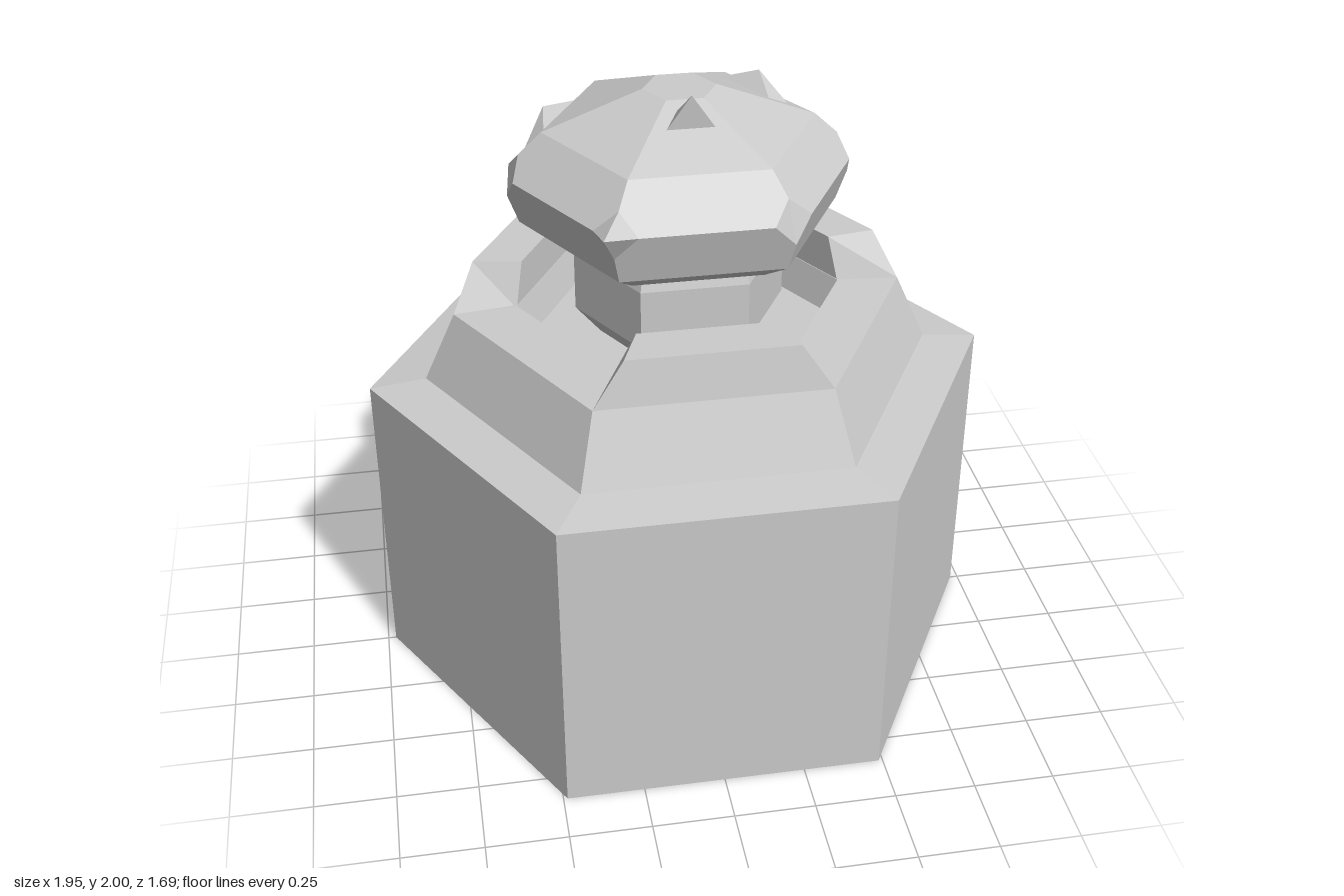
import * as THREE from 'three';

const STEP = Math.PI / 3;
const material = new THREE.MeshStandardMaterial({ color: 0xcccccc, flatShading: true });

// Point at radius r and height y on hexagon corner k (corner 1 lies on +x)
const corner = (k, r, y) => {
  const a = STEP * (k + 0.5);
  return new THREE.Vector3(r * Math.sin(a), y, r * Math.cos(a));
};

// Mesh from convex polygons listed counter-clockwise from outside
function polyMesh(name, polygons) {
  const points = [];
  for (const p of polygons) {
    for (let i = 1; i < p.length - 1; i++) points.push(p[0], p[i], p[i + 1]);
  }
  const geometry = new THREE.BufferGeometry().setFromPoints(points);
  geometry.computeVertexNormals();
  const mesh = new THREE.Mesh(geometry, material);
  mesh.name = name;
  return mesh;
}

// Six-sided turned solid from [radius, height] pairs
function hexTurned(name, profile) {
  const points = profile.map(([r, y]) => new THREE.Vector2(r, y));
  const mesh = new THREE.Mesh(new THREE.LatheGeometry(points, 6, STEP / 2), material);
  mesh.name = name;
  return mesh;
}

// Faceted cap whose six middle corners are cut to diamonds or pulled into points
function makeCap() {
  const low = [0.39, 1.48], skirt = [0.485, 1.54], mid = [0.543, 1.70];
  const shoulder = [0.41, 1.825], crown = [0.11, 1.94];
  const pulled = { 2: 0.565, 5: 0.59 };
  const at = (k, ring) => corner(k, ring[0], ring[1]);
  const cut = (k) => ({
    bottom: at(k, skirt).lerp(at(k, mid), 0.56),
    top: at(k, mid).lerp(at(k, shoulder), 0.48),
    right: at(k, mid).lerp(at(k + 1, mid), 0.145),
    left: at(k, mid).lerp(at(k - 1, mid), 0.145),
  });
  const faces = [];
  for (let k = 0; k < 6; k++) {
    const a = cut(k), b = cut(k + 1);
    faces.push([at(k, low), at(k + 1, low), at(k + 1, skirt), at(k, skirt)]);
    faces.push([at(k, skirt), at(k + 1, skirt), b.bottom, b.left, a.right, a.bottom]);
    faces.push([a.right, b.left, b.top, at(k + 1, shoulder), at(k, shoulder), a.top]);
    faces.push([at(k, shoulder), at(k + 1, shoulder), at(k + 1, crown), at(k, crown)]);
    const diamond = [a.bottom, a.right, a.top, a.left];
    if (pulled[k]) {
      const tip = corner(k, pulled[k], 1.72);
      diamond.forEach((p, i) => faces.push([p, diamond[(i + 1) % 4], tip]));
    } else {
      faces.push(diamond);
    }
  }
  const ring = [0, 1, 2, 3, 4, 5];
  faces.push(ring.map((k) => at(k, crown)));
  faces.push(ring.map((k) => at(5 - k, low)));
  return polyMesh('cap', faces);
}

// Raised rim block on the +z side, tapering at both ends
function makeRimBlock() {
  const v = (x, y, z) => new THREE.Vector3(x, y, z);
  const section = (s) => [
    v(s * 0.35, 1.24, 0.606), v(s * 0.255, 1.38, 0.58),
    v(s * 0.2, 1.38, 0.44), v(s * 0.25, 1.24, 0.44),
  ];
  const l = section(-1), r = section(1);
  const faces = l.map((p, i) => [p, r[i], r[(i + 1) % 4], l[(i + 1) % 4]]);
  faces.push(l, [...r].reverse());
  return polyMesh('rimBlock', faces);
}

// Horn on the +z side: [half width, height, depth] of outer and inner base edges, then tip
function makeHorn(outer, inner, tipY, tipZ) {
  const v = (s, [w, y, z]) => new THREE.Vector3(s * w, y, z);
  const base = [v(-1, outer), v(1, outer), v(1, inner), v(-1, inner)];
  const tip = new THREE.Vector3(0, tipY, tipZ);
  const faces = base.map((p, i) => [p, base[(i + 1) % 4], tip]);
  faces.push([...base].reverse());
  return polyMesh('horn', faces);
}

export function createModel() {
  const model = new THREE.Group();
  model.name = 'hexPedestal';

  // Base column and the stepped collar with its sunken well
  model.add(hexTurned('base', [[0, 0], [0.975, 0], [0.975, 1], [0.8, 1.02]]));
  model.add(hexTurned('collar', [[0.8, 1.02], [0.7, 1.24], [0.505, 1.25], [0.47, 1.14], [0, 1.14]]));

  // Neck and cap
  model.add(hexTurned('neck', [[0.25, 1.14], [0.325, 1.23], [0.325, 1.42], [0.305, 1.48]]));
  model.add(makeCap());

  // Three blocks and three horns on alternate sides
  const horns = [
    makeHorn([0.07, 1.895, 0.2], [0.03, 1.92, 0.13], 2.0, 0.21),
    makeHorn([0.137, 1.842, 0.31], [0.11, 1.867, 0.255], 1.91, 0.312),
    makeHorn([0.145, 1.736, 0.437], [0.12, 1.79, 0.385], 1.81, 0.44),
  ];
  horns.forEach((horn, i) => {
    const block = makeRimBlock();
    block.rotation.y = horn.rotation.y = i * STEP * 2;
    model.add(block, horn);
  });
  return model;
}
